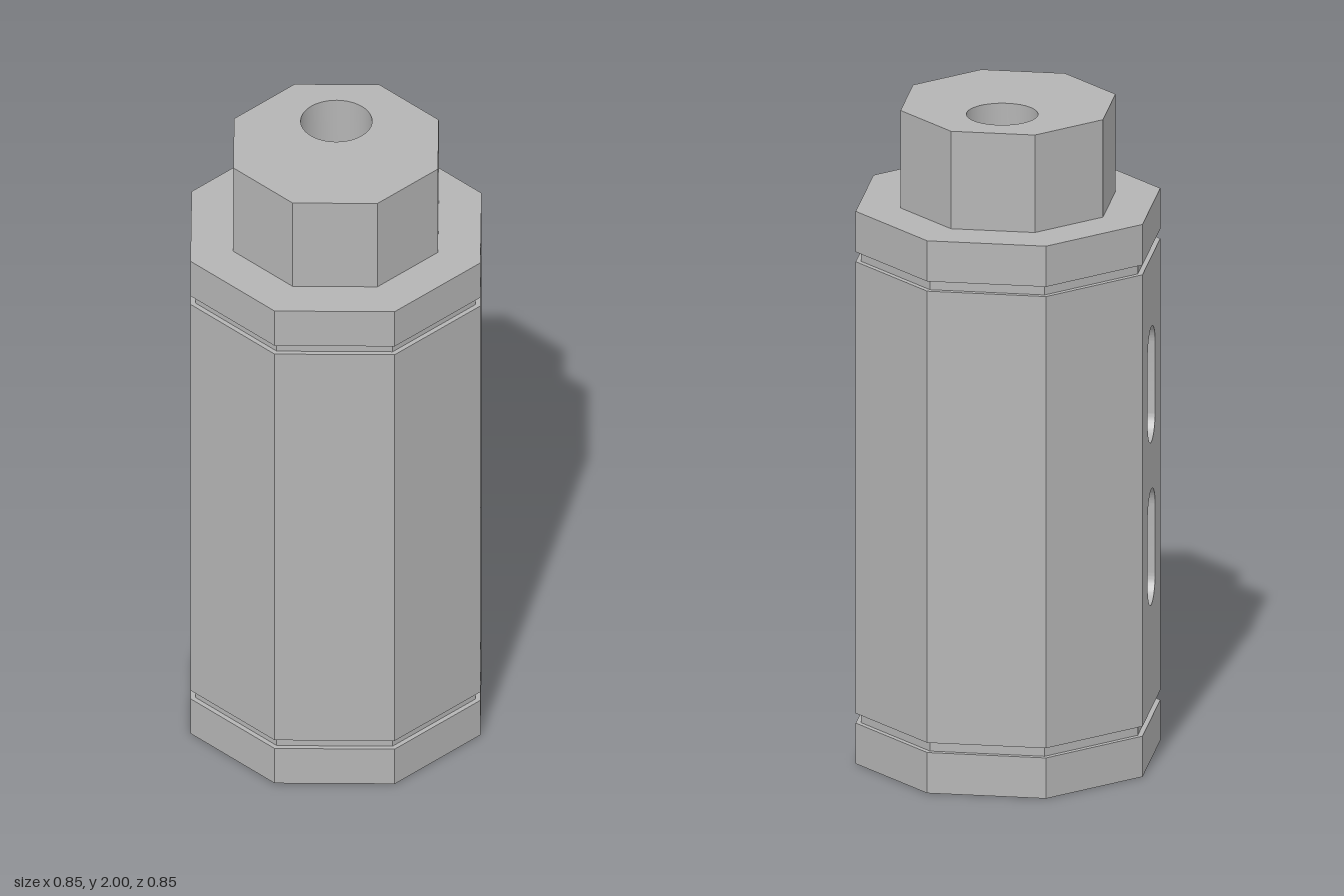
import * as THREE from 'three';
import { toCreasedNormals } from 'three/addons/utils/BufferGeometryUtils.js';

const OUTER = 0.425, INNER = 0.3, GROOVE = 0.41; // octagon centre-to-flat distances
const CAVITY_TOP = 1.5, PANEL_BOTTOM = 0.155;
const HALF = Math.tan(Math.PI / 8); // half a flat's width per unit of that distance

function octagon(apothem) {
  const r = apothem / Math.cos(Math.PI / 8);
  return Array.from({ length: 8 }, (_, i) => {
    const a = (i + 0.5) * Math.PI / 4;
    return new THREE.Vector2(r * Math.cos(a), r * Math.sin(a));
  });
}

function boreHole() {
  return new THREE.Path().absarc(0, 0.115, 0.105, 0, Math.PI * 2, true);
}

function slotHole(bottom, top, r) {
  return new THREE.Path()
    .absarc(0, top - r, r, 0, Math.PI, false)
    .absarc(0, bottom + r, r, Math.PI, Math.PI * 2, false)
    .closePath();
}

function extrude(shape, depth) {
  return new THREE.ExtrudeGeometry(shape, { depth, bevelEnabled: false, curveSegments: 24 });
}

export function createModel() {
  const group = new THREE.Group();
  const metal = new THREE.MeshStandardMaterial({ color: 0xb4b4b4 });
  metal.name = 'grey metal';

  function add(name, geometry) {
    const mesh = new THREE.Mesh(toCreasedNormals(geometry, 0.6), metal);
    mesh.name = name;
    group.add(mesh);
  }

  // Horizontal octagonal layer with an opening through it
  function layer(name, y0, y1, apothem, hole) {
    const shape = new THREE.Shape(octagon(apothem));
    shape.holes.push(hole);
    add(name, extrude(shape, y1 - y0).rotateX(-Math.PI / 2).translate(0, y0, 0));
  }

  // Open bottom collar and its groove
  const cavity = () => new THREE.Path(octagon(INNER).reverse());
  layer('bottomCollar', 0, 0.125, OUTER, cavity());
  layer('bottomGroove', 0.125, PANEL_BOTTOM, GROOVE, cavity());

  // Eight mitred wall panels; the two side ones carry a pair of slots
  for (let i = 0; i < 8; i++) {
    const w = OUTER * HALF;
    const shape = new THREE.Shape([
      new THREE.Vector2(-w, PANEL_BOTTOM), new THREE.Vector2(w, PANEL_BOTTOM),
      new THREE.Vector2(w, CAVITY_TOP), new THREE.Vector2(-w, CAVITY_TOP),
    ]);
    const slotted = i === 2 || i === 6;
    if (slotted) shape.holes.push(slotHole(0.475, 0.83, 0.075), slotHole(0.975, 1.33, 0.075));
    const geometry = extrude(shape, OUTER - INNER).translate(0, 0, INNER);
    // Narrow the inner side so that neighbouring panels meet
    const p = geometry.attributes.position;
    for (let k = 0; k < p.count; k++) {
      if (p.getZ(k) < INNER + 0.01 && Math.abs(p.getX(k)) > 0.1) {
        p.setX(k, Math.sign(p.getX(k)) * INNER * HALF);
      }
    }
    add(slotted ? 'slottedWall' : 'wall', geometry.rotateY(i * Math.PI / 4));
  }

  // Closed top with the off-centre bore running through it
  layer('cavityCeiling', CAVITY_TOP, 1.545, OUTER, boreHole());
  layer('topGroove', 1.545, 1.575, GROOVE, boreHole());
  layer('topCollar', 1.575, 1.7, OUTER, boreHole());
  layer('neck', 1.7, 2, INNER, boreHole());

  return group;
}
